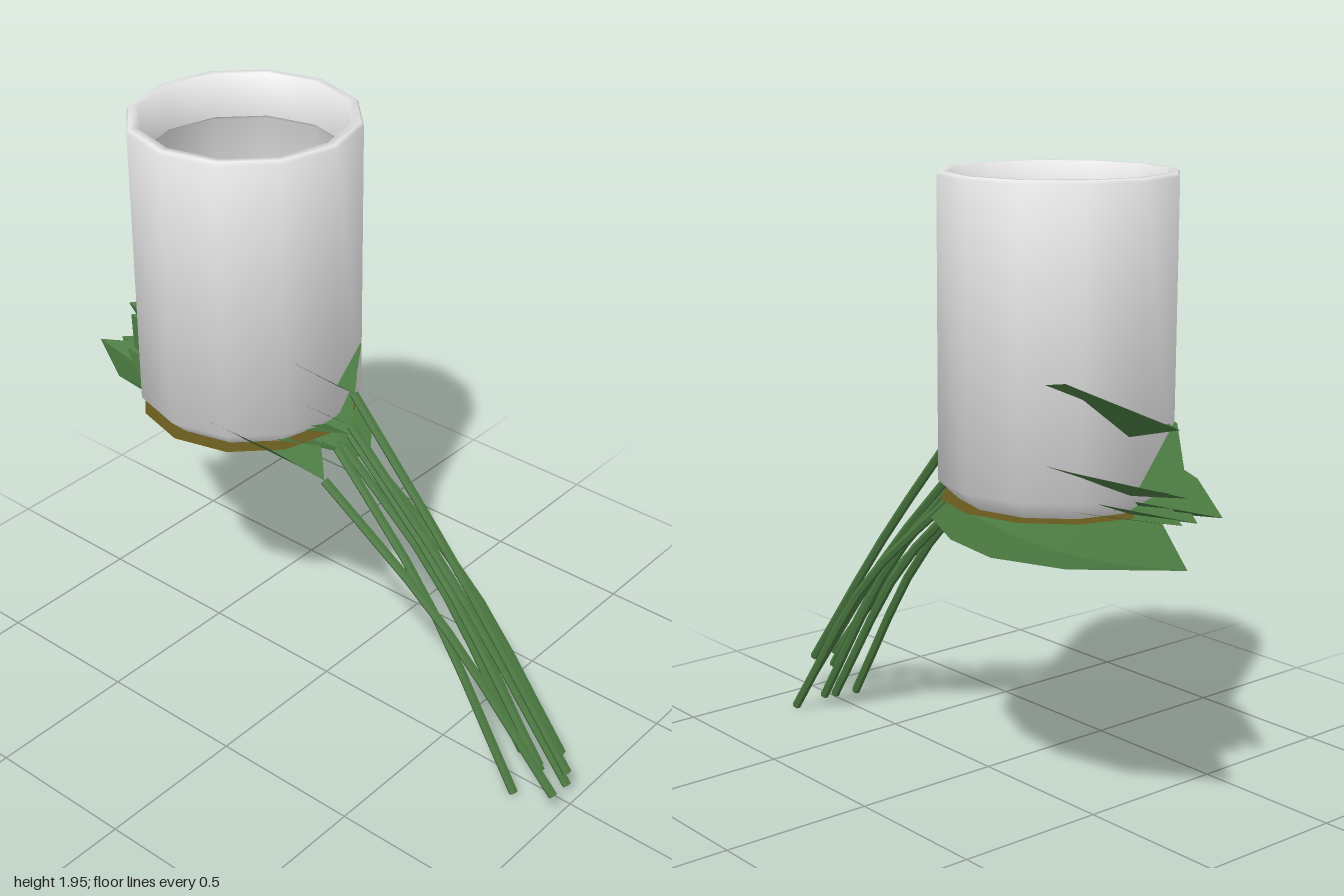
import * as THREE from 'three';

const mat = (name, color) => {
  const m = new THREE.MeshStandardMaterial({ color, side: THREE.DoubleSide });
  m.name = name;
  return m;
};

// Lathe whose normals average both neighbouring segments equally; repeated points crease
function softLathe(points, sides) {
  const g = new THREE.LatheGeometry(points, sides);
  const segmentNormal = (a, b) =>
    a && b ? new THREE.Vector2(b.y - a.y, a.x - b.x).normalize() : new THREE.Vector2();
  const normals = points.map((p, j) =>
    segmentNormal(points[j - 1], p).add(segmentNormal(p, points[j + 1])).normalize());
  for (let i = 0; i <= sides; i++) {
    const phi = (i / sides) * Math.PI * 2;
    normals.forEach((n, j) => g.attributes.normal.setXYZ(
      i * points.length + j, n.x * Math.sin(phi), n.y, n.x * Math.cos(phi)));
  }
  return g;
}

// Folded leaf: midrib from base to tip, with an edge on either side whose rise changes
// from the base value to the tip value
function leafGeometry(base, tip, sag, front, back) {
  const rows = [[0, 0], [0.11, 0.6], [0.3, 0.92], [0.5, 1], [0.74, 0.76], [1, 0]];
  const pts = rows.map(([t, w]) => {
    const mid = new THREE.Vector3().lerpVectors(base, tip, t);
    mid.y += sag * Math.sin(Math.PI * t);
    const edge = ([width, riseBase, riseTip], side) => mid.clone().add(
      new THREE.Vector3(0, THREE.MathUtils.lerp(riseBase, riseTip, t) * w, side * width * w));
    return [edge(front, 1), mid, edge(back, -1)];
  });
  const verts = [];
  const tri = (...p) => p.forEach((v) => verts.push(v.x, v.y, v.z));
  for (let i = 0; i < pts.length - 1; i++) {
    for (let s = 0; s < 2; s++) {
      const a = pts[i][s], b = pts[i][s + 1], c = pts[i + 1][s], d = pts[i + 1][s + 1];
      if (i > 0) tri(a, b, c);
      if (i < pts.length - 2) tri(b, d, c);
    }
  }
  const g = new THREE.BufferGeometry();
  g.setAttribute('position', new THREE.Float32BufferAttribute(verts, 3));
  g.computeVertexNormals();
  return g;
}

export function createModel() {
  const model = new THREE.Group();
  const potMat = mat('pale ceramic', 0xe6e5e6);
  const soilMat = mat('olive brown base', 0x66581c);
  const leafMat = mat('leaf green', 0x4a7840);
  leafMat.flatShading = true;

  const add = (name, geometry, material, parent = model) => {
    const mesh = new THREE.Mesh(geometry, material);
    mesh.name = name;
    parent.add(mesh);
    return mesh;
  };

  // Twelve-sided hollow pot with a softly shaded foot and rim
  const profile = [
    [0, 0.99], [0.3, 0.982], [0.3, 0.982], [0.36, 1.04],
    [0.36, 1.94], [0.352, 1.95], [0.325, 1.95],
    [0.318, 1.81], [0.318, 1.81], [0.325, 1.8], [0.328, 1.4], [0.3, 1.0], [0.3, 1.0], [0, 1.0],
  ].map(([x, y]) => new THREE.Vector2(x, y));
  add('pot', softLathe(profile, 12), potMat).position.x = -0.32;

  // Flat disc under the pot
  const disc = add('baseDisc', new THREE.CircleGeometry(0.352, 12), soilMat);
  disc.rotation.x = Math.PI / 2;
  disc.position.set(-0.32, 0.98, 0);

  // Each leaf: base, tip, sag, front and back [width, rise at base, rise at tip];
  // then its stem: end and upward bulge
  const plants = [
    [[0.11, 1.15, 0], [-0.88, 1.28, -0.05], -0.05, [0.26, 0.26, -0.06], [0.27, 0.08, 0.3], [0.98, 0.12, 0], 0.03],
    [[0.1, 1.03, 0], [-0.91, 1.09, -0.04], -0.04, [0.27, 0.22, 0.25], [0.27, 0.16, 0.12], [0.97, 0.05, -0.02], 0.05],
    [[0.08, 0.98, -0.02], [-0.86, 1.08, 0], -0.03, [0.3, 0.16, 0.14], [0.24, 0.14, 0.1], [0.89, 0.11, 0.02], 0.07],
    [[0.07, 0.95, 0.03], [-0.88, 1.0, 0.03], -0.02, [0.22, 0.08, 0.06], [0.22, 0.1, 0.08], [0.84, 0.01, 0.08], 0.09],
    [[0.08, 0.97, -0.04], [-0.87, 1.0, -0.02], -0.03, [0.22, 0.08, 0.04], [0.2, 0.07, 0.05], [0.85, 0.02, -0.05], 0.09],
    [[0.05, 0.93, -0.02], [-0.8, 1.02, 0.02], -0.02, [0.18, 0.05, 0.05], [0.22, 0.04, 0.04], [0.77, 0.05, -0.06], 0.1],
    [[0.12, 0.91, 0.15], [-0.91, 1.01, 0.1], -0.02, [0.21, 0.22, 0.06], [0.18, 0.08, 0.08], [1.0, 0.11, 0.105], 0.07],
    [[0.12, 0.88, -0.07], [-1.0, 0.92, -0.13], -0.055, [0.22, 0.12, 0.14], [0.26, 0.03, 0.03], [0.85, 0.01, -0.17], 0.1],
  ];
  const leaves = new THREE.Group();
  leaves.name = 'leaves';
  const stems = new THREE.Group();
  stems.name = 'stems';
  model.add(leaves, stems);
  for (const [b, t, sag, front, back, e, bulge] of plants) {
    const base = new THREE.Vector3(...b), end = new THREE.Vector3(...e);
    add('leaf', leafGeometry(base, new THREE.Vector3(...t), sag, front, back), leafMat, leaves);
    const mid = new THREE.Vector3().lerpVectors(base, end, 0.5);
    mid.y += bulge;
    const path = new THREE.CatmullRomCurve3([base, mid, end]);
    add('stem', new THREE.TubeGeometry(path, 6, 0.015, 6), leafMat, stems);
  }
  return model;
}
